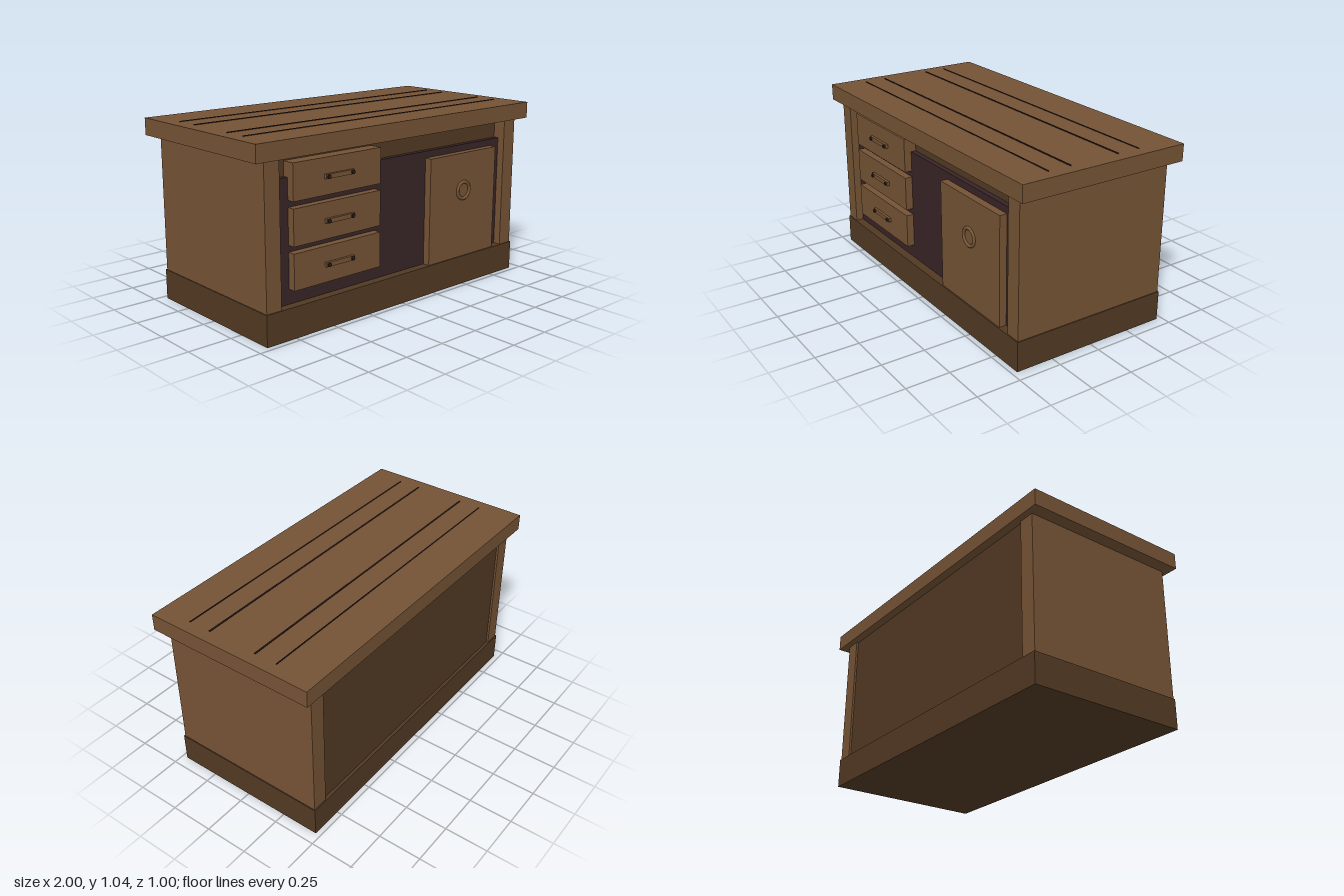
import * as THREE from 'three';

const mat = (name, color) => {
  const m = new THREE.MeshStandardMaterial({ color });
  m.name = name;
  return m;
};

export function createModel() {
  const wood = mat('wood', 0x755335);
  const darkWood = mat('dark wood', 0x523923);
  const interior = mat('dark interior', 0x382426);
  const iron = mat('dark fittings', 0x2a1c1a);
  const root = new THREE.Group();
  root.name = 'counter';

  const add = (name, geometry, material, parent = root) => {
    const mesh = new THREE.Mesh(geometry, material);
    mesh.name = name;
    parent.add(mesh);
    return mesh;
  };
  // Box given by its low and high corner on each axis
  const box = (name, material, [x0, x1], [y0, y1], [z0, z1], parent) => {
    const mesh = add(name, new THREE.BoxGeometry(x1 - x0, y1 - y0, z1 - z0), material, parent);
    mesh.position.set((x0 + x1) / 2, (y0 + y1) / 2, (z0 + z1) / 2);
    return mesh;
  };

  // Carcass
  box('plinth', darkWood, [-0.935, 0.935], [0, 0.17], [-0.47, 0.47]);
  box('body', darkWood, [-0.838, 0.838], [0.17, 0.938], [-0.452, 0.39]);
  box('frontRecess', interior, [-0.838, 0.838], [0.17, 0.825], [0.39, 0.42]);
  box('rightSide', wood, [-0.93, -0.838], [0.17, 0.938], [-0.464, 0.464]);
  box('leftSide', wood, [0.838, 0.93], [0.17, 0.938], [-0.464, 0.464]);

  // Worktop with plank seams
  box('worktop', wood, [-1, 1], [0.938, 1.032], [-0.5, 0.5]);
  [[-0.26, 0.005], [-0.126, 0.008], [0.17, 0.008], [0.302, 0.005]].forEach(([z, w]) =>
    box('plankSeam', iron, [-0.93, 0.93], [1.031, 1.036], [z - w / 2, z + w / 2]));

  // Drawers with bar handles and round bolts
  [0.347, 0.577, 0.807].forEach((y) => {
    const drawer = new THREE.Group();
    drawer.name = 'drawer';
    root.add(drawer);
    box('drawerFront', wood, [-0.755, -0.17], [y - 0.097, y + 0.097], [0.385, 0.463], drawer);
    box('handleBar', wood, [-0.555, -0.365], [y - 0.012, y + 0.012], [0.462, 0.479], drawer);
    for (const x of [-0.54, -0.38]) {
      const bolt = add('handleBolt', new THREE.CylinderGeometry(0.011, 0.011, 0.024, 12), iron, drawer);
      bolt.rotation.x = Math.PI / 2;
      bolt.position.set(x, y, 0.475);
    }
  });

  // Door with ring pull
  box('door', wood, [0.215, 0.765], [0.17, 0.786], [0.415, 0.462]);
  const ring = add('ringPull', new THREE.TorusGeometry(0.049, 0.01, 10, 32), wood);
  ring.position.set(0.49, 0.567, 0.463);

  return root;
}
